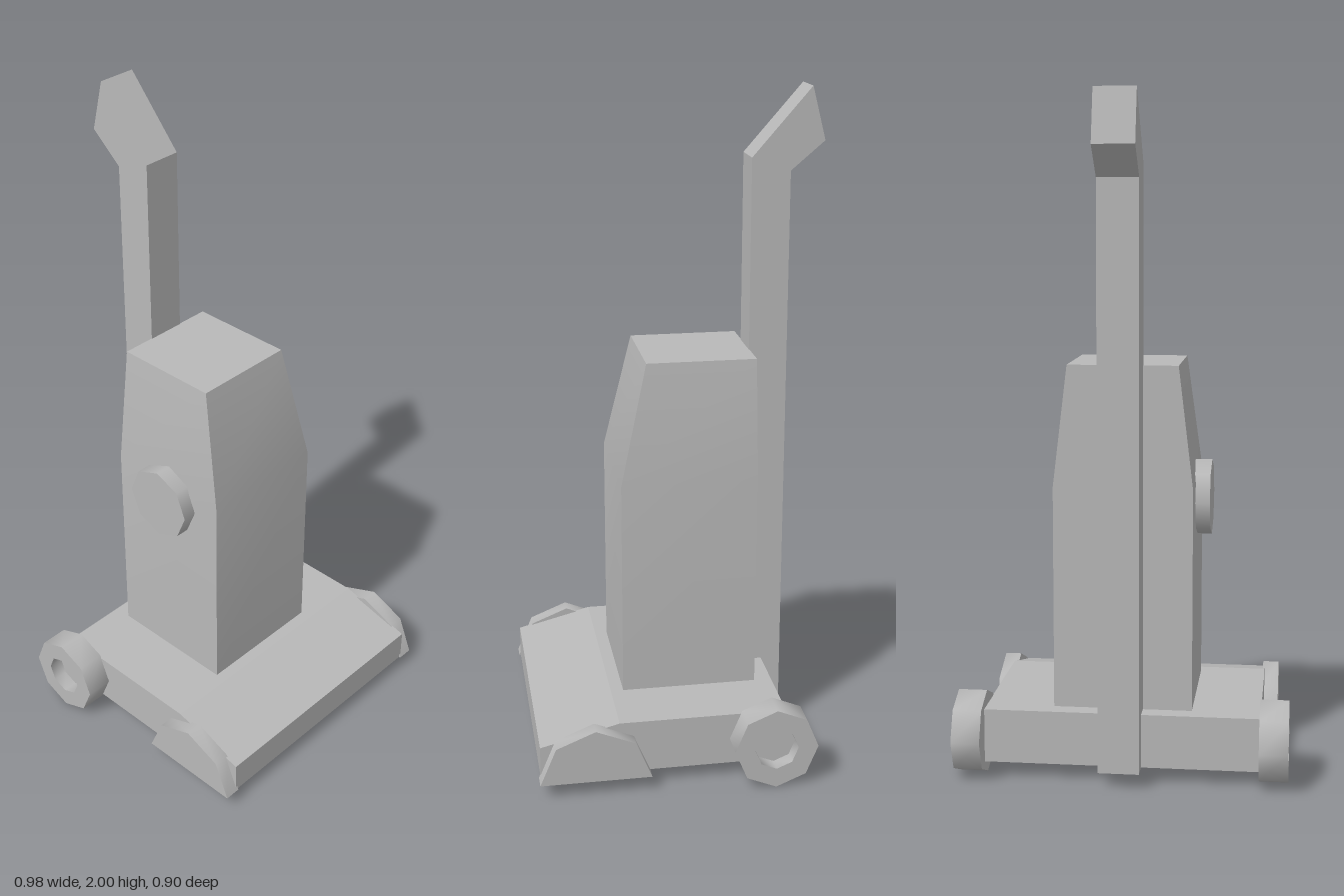
import * as THREE from 'three';
import { toCreasedNormals } from 'three/addons/utils/BufferGeometryUtils.js';

const grey = new THREE.MeshStandardMaterial({ color: 0xb8b8b8 });
grey.name = 'grey plastic';

export function createModel() {
  const model = new THREE.Group();
  model.name = 'uprightVacuum';

  const add = (name, geometry, x = 0, y = 0, z = 0) => {
    const mesh = new THREE.Mesh(geometry, grey);
    mesh.name = name;
    mesh.position.set(x, y, z);
    model.add(mesh);
    return mesh;
  };

  // Side profile of [z, y] points, extruded across x and centred
  const sideExtrude = (points, width) => {
    const shape = new THREE.Shape(points.map(([z, y]) => new THREE.Vector2(z, y)));
    const g = new THREE.ExtrudeGeometry(shape, { depth: width, bevelEnabled: false });
    return g.translate(0, 0, -width / 2).rotateY(-Math.PI / 2);
  };

  // Floor head with a sloping nose
  add('floorHead', sideExtrude(
    [[-0.29, 0.05], [0.445, 0.05], [0.445, 0.15], [0.21, 0.21], [-0.29, 0.21]], 0.815));

  // Body: upright box whose front and sides lean in above the middle ring
  const body = new THREE.BoxGeometry(2, 2, 2, 1, 2, 1);
  const rings = [
    { y: 0.2, x: 0.205, front: 0.172 },
    { y: 0.87, x: 0.205, front: 0.172 },
    { y: 1.23, x: 0.162, front: 0.09 },
  ];
  const p = body.attributes.position;
  for (let i = 0; i < p.count; i++) {
    const r = rings[Math.round(p.getY(i)) + 1];
    p.setXYZ(i, p.getX(i) * r.x, r.y, p.getZ(i) > 0 ? r.front : -0.237);
  }
  body.computeVertexNormals();
  add('body', body);

  // Bent handle running down the back
  add('handle', sideExtrude([
    [-0.35, 0.05], [-0.235, 0.05], [-0.235, 1.8],
    [-0.41, 2.0], [-0.45, 1.845], [-0.35, 1.76]], 0.12));

  // Round knob on the right side of the body
  add('sideKnob', new THREE.CylinderGeometry(0.114, 0.114, 0.06, 8).rotateZ(Math.PI / 2),
    -0.218, 0.815, -0.032);

  // Eight-sided rear wheel with a recessed hub, axis along +x
  const wheelProfile = [[0, 0], [0.125, 0], [0.125, 0.085], [0.065, 0.085], [0.065, 0.04], [0, 0.04]]
    .map(([r, h]) => new THREE.Vector2(r, h));
  const wheel = toCreasedNormals(
    new THREE.LatheGeometry(wheelProfile, 8).rotateZ(-Math.PI / 2), 1);

  // Half-round front wheel cover
  const cover = toCreasedNormals(sideExtrude(
    [0, 1, 2, 3, 4].map(i => {
      const a = i * Math.PI / 4;
      return [0.285 + 0.165 * Math.cos(a), 0.05 + 0.163 * Math.sin(a)];
    }), 0.05), 1);

  for (const side of [1, -1]) {
    const label = side > 0 ? 'left' : 'right';
    const w = add(label + 'RearWheel', wheel, side * 0.406, 0.13, -0.245);
    if (side < 0) w.rotation.y = Math.PI;
    add(label + 'FrontCover', cover, side * 0.426);
  }
  return model;
}
